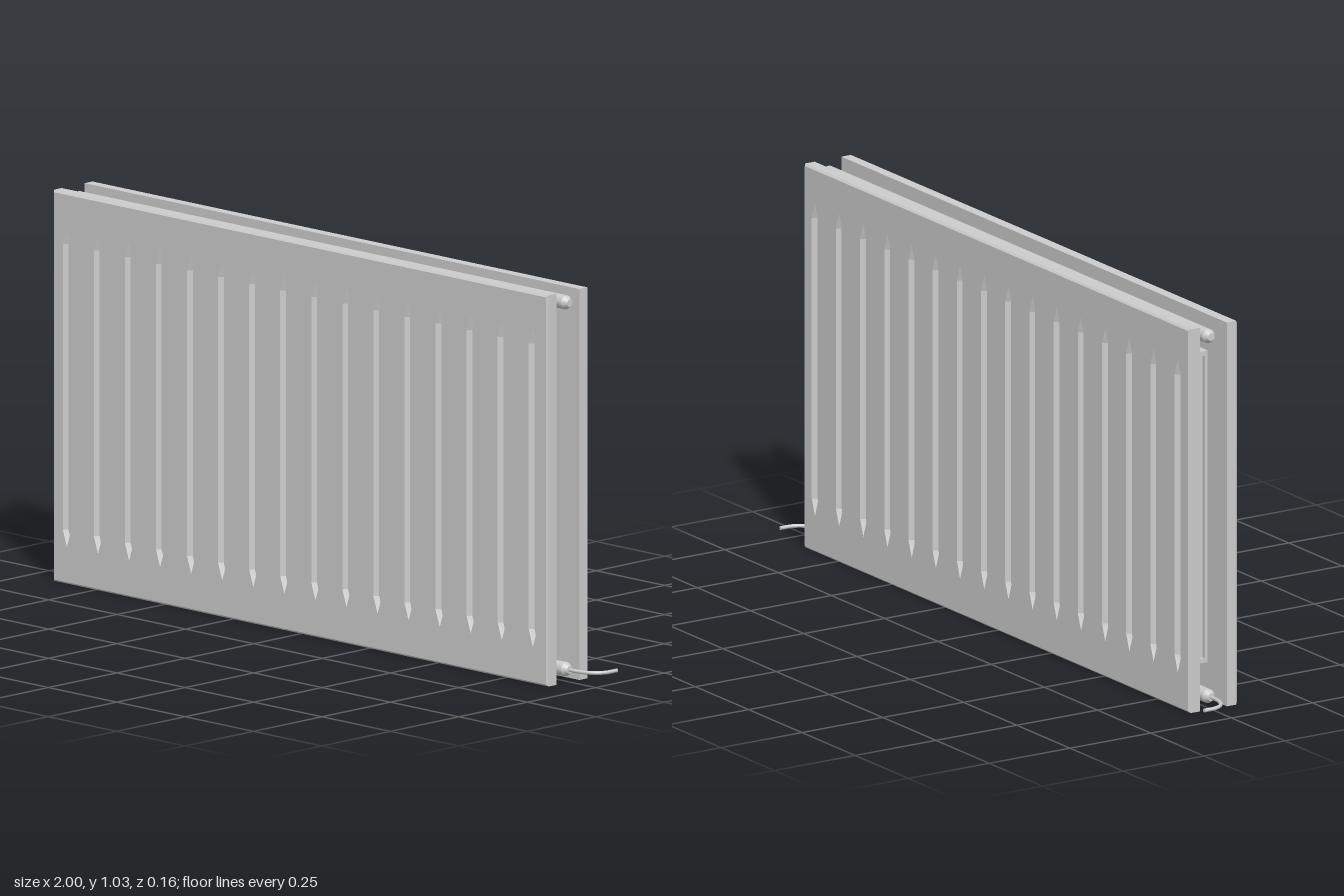
import * as THREE from 'three';
import { mergeGeometries } from 'three/addons/utils/BufferGeometryUtils.js';

const flat = new THREE.MeshStandardMaterial({ color: 0xcccccc, flatShading: true });
const smooth = new THREE.MeshStandardMaterial({ color: 0xcccccc });

function add(parent, name, geometry, material) {
  const mesh = new THREE.Mesh(geometry, material);
  mesh.name = name;
  parent.add(mesh);
  return mesh;
}

// Closed strip between two loops of [x, y], each at its own depth.
function strip(a, za, b, zb) {
  const pos = [];
  a.forEach((p, i) => {
    const j = (i + 1) % a.length;
    const [A, B, C, D] = [[...p, za], [...a[j], za], [...b[j], zb], [...b[i], zb]];
    pos.push(...A, ...B, ...C, ...A, ...C, ...D);
  });
  const g = new THREE.BufferGeometry();
  g.setAttribute('position', new THREE.Float32BufferAttribute(pos, 3));
  g.computeVertexNormals();
  return g;
}

// Flat face inside a loop, with optional holes, facing +z.
function face(loop, z, holes = []) {
  const toPoints = l => l.map(p => new THREE.Vector2(...p));
  const shape = new THREE.Shape(toPoints(loop));
  shape.holes = holes.map(h => new THREE.Path(toPoints(h)));
  const g = new THREE.ShapeGeometry(shape).toNonIndexed();
  g.deleteAttribute('uv');
  return g.translate(0, 0, z);
}

const rect = (w, y0, y1) => [[-w, y0], [w, y0], [w, y1], [-w, y1]];

// Slender six-sided outline with pointed ends.
const spear = (x, w, y0, y1, tip) => [
  [x, y0], [x + w, y0 + tip], [x + w, y1 - tip],
  [x, y1], [x - w, y1 - tip], [x - w, y0 + tip],
];

// Chamfered panel with a row of pressed grooves in its outer face.
function panelGeometry() {
  const depth = 0.034, c = 0.005, groove = 0.012, count = 16;
  const rim = rect(0.905, 0.003, 1.037), front = rect(0.905 - c, 0.003 + c, 1.037 - c);
  const parts = [
    face(rim, 0).rotateY(Math.PI),
    strip(rim, 0, rim, depth - c),
    strip(rim, depth - c, front, depth),
  ];
  const holes = [];
  for (let i = 0; i < count; i++) {
    const x = -0.852 + i * 1.704 / (count - 1);
    const outer = spear(x, 0.015, 0.1, 0.945, 0.045);
    const inner = spear(x, 0.006, 0.125, 0.92, 0.02);
    holes.push(outer);
    parts.push(strip(outer, depth, inner, depth - groove), face(inner, depth - groove));
  }
  parts.push(face(front, depth, holes));
  return mergeGeometries(parts);
}

export function createModel() {
  const model = new THREE.Group();
  model.name = 'radiator';

  // Front and back panels
  const panel = panelGeometry();
  add(model, 'frontPanel', panel, flat).position.z = 0.048;
  const back = add(model, 'backPanel', panel, flat);
  back.rotation.y = Math.PI;
  back.position.z = -0.035;

  // Convector core between the panels
  const core = new THREE.BoxGeometry(1.61, 0.84, 0.083);
  add(model, 'convectorCore', core, flat).position.set(0, 0.52, 0.0065);

  // End frames of the core, each with two tall recesses
  const frame = new THREE.Shape([[-0.048, 0.1], [0.035, 0.1], [0.035, 0.94], [-0.048, 0.94]]
    .map(p => new THREE.Vector2(...p)));
  for (const [a, b] of [[-0.039, -0.018], [0.003, 0.025]]) {
    frame.holes.push(new THREE.Path([[a, 0.112], [a, 0.927], [b, 0.927], [b, 0.112]]
      .map(p => new THREE.Vector2(...p))));
  }
  const frameGeometry = new THREE.ExtrudeGeometry(frame, { depth: 0.01, bevelEnabled: false })
    .rotateY(Math.PI / 2);
  for (const x of [-0.815, 0.805]) add(model, 'convectorEndFrame', frameGeometry, flat).position.x = x;

  // Top and bottom header tubes with stepped, tapered ends
  const half = [[0.01, 0.905], [0.0185, 0.892]];
  const profile = [[0, 0.905], ...half].map(([r, y]) => new THREE.Vector2(r, y));
  const outline = [...profile.map(p => new THREE.Vector2(p.x, -p.y)), ...profile.slice().reverse()];
  const header = new THREE.LatheGeometry(outline, 24).toNonIndexed();
  header.computeVertexNormals();
  header.rotateZ(Math.PI / 2);
  for (const y of [0.035, 1.005]) add(model, 'headerTube', header, flat).position.y = y;

  // Connection pipes curving backwards at both lower ends
  for (const s of [-1, 1]) {
    const v = (x, z) => new THREE.Vector3(s * x, 0.035, z);
    const path = new THREE.CurvePath();
    path.add(new THREE.LineCurve3(v(0.89, 0), v(0.92, 0)));
    path.add(new THREE.CubicBezierCurve3(v(0.92, 0), v(0.965, -0.002), v(0.994, -0.022), v(0.995, -0.06)));
    path.add(new THREE.LineCurve3(v(0.995, -0.06), v(0.995, -0.082)));
    const pipe = new THREE.Group();
    pipe.name = s > 0 ? 'leftPipe' : 'rightPipe';
    add(pipe, 'pipeBody', new THREE.TubeGeometry(path, 32, 0.005, 10), smooth);
    const cap = add(pipe, 'pipeEnd', new THREE.CircleGeometry(0.005, 10), flat);
    cap.rotation.y = Math.PI;
    cap.position.copy(v(0.995, -0.082));
    model.add(pipe);
  }
  return model;
}
